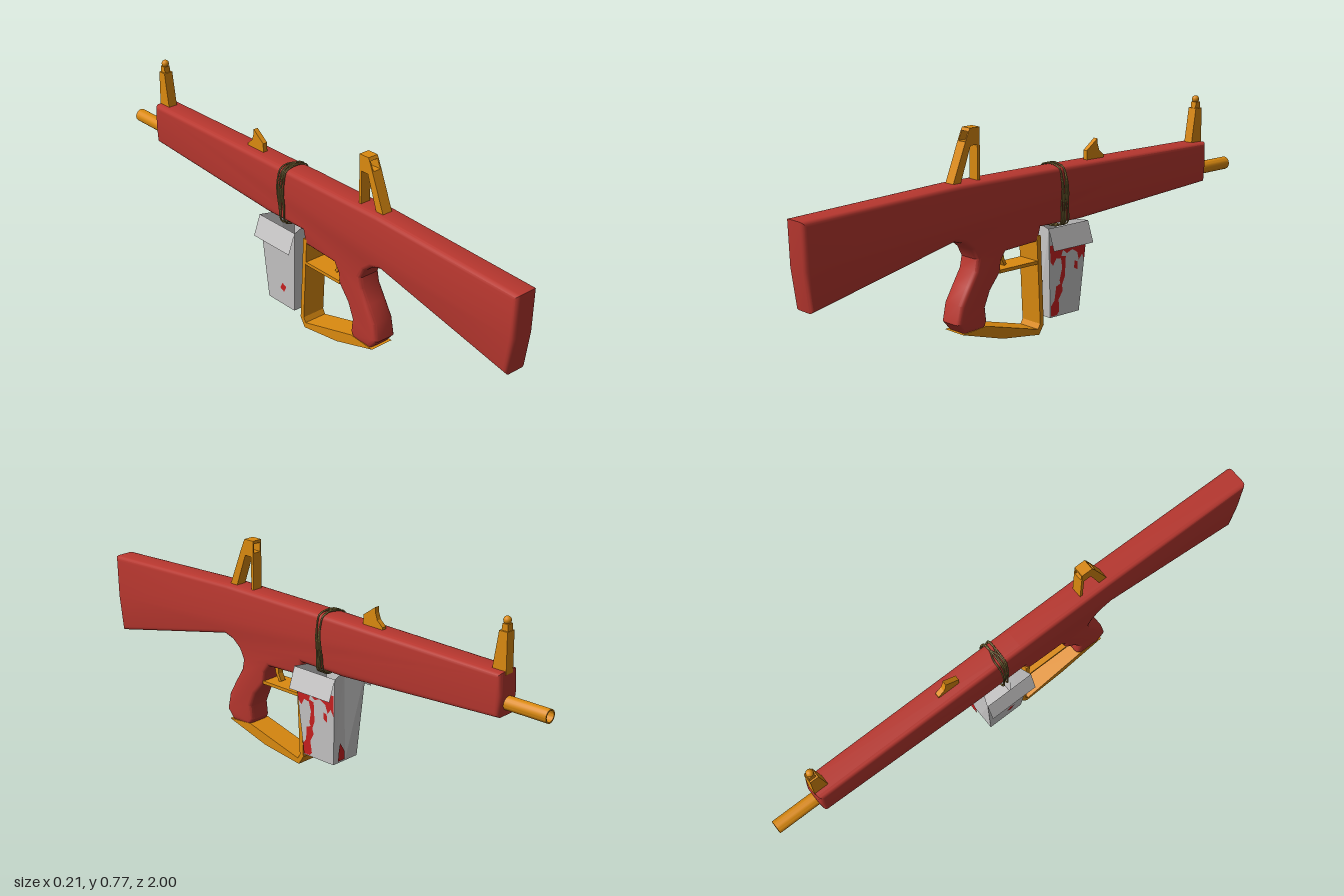
import * as THREE from 'three';
import { toCreasedNormals } from 'three/addons/utils/BufferGeometryUtils.js';

const mat = (name, color, side = THREE.FrontSide) => {
  const m = new THREE.MeshStandardMaterial({ color, side });
  m.name = name;
  return m;
};

export function createModel() {
  const group = new THREE.Group();
  const red = mat('red', 0xb8372f);
  const orange = mat('orange', 0xdb8a10);
  const grey = mat('grey', 0xc8c7c7, THREE.DoubleSide);
  const stainRed = mat('stainRed', 0xcc2020, THREE.DoubleSide);
  const twine = mat('twine', 0x7d6b38);

  const add = (name, geo, material) => {
    const mesh = new THREE.Mesh(geo, material);
    mesh.name = name;
    group.add(mesh);
    return mesh;
  };
  const outline = (pts) => new THREE.Shape(pts.map(([z, y]) => new THREE.Vector2(z, y)));

  // Side profile given as [z, y], extruded across x and centred on cx
  const slab = (name, pts, width, material, { bevel = 0, hole = null, cx = 0 } = {}) => {
    const shape = outline(pts);
    if (hole) shape.holes.push(outline(hole));
    const geo = new THREE.ExtrudeGeometry(shape, {
      depth: width - 2 * bevel, bevelEnabled: bevel > 0, bevelThickness: bevel,
      bevelSize: bevel, bevelOffset: -bevel, bevelSegments: 3,
    });
    geo.translate(0, 0, -(width - 2 * bevel) / 2);
    geo.rotateY(-Math.PI / 2);
    geo.translate(cx, 0, 0);
    return add(name, bevel ? toCreasedNormals(geo, 0.55) : geo, material);
  };

  // Stock, receiver and grip in one rounded piece
  slab('body', [
    [1, 0.567], [0.995, 0.41], [0.975, 0.272], [0.4, 0.4], [0.36, 0.388], [0.325, 0.36],
    [0.307, 0.325], [0.315, 0.285], [0.345, 0.235], [0.38, 0.175], [0.393, 0.11],
    [0.36, 0.072], [0.275, 0.075], [0.262, 0.1], [0.268, 0.15], [0.245, 0.205],
    [0.2, 0.26], [0.195, 0.3], [0.175, 0.33], [0.025, 0.338], [0.012, 0.388],
    [-0.18, 0.386], [-0.835, 0.425], [-0.842, 0.5], [-0.838, 0.576], [0, 0.588], [0.38, 0.59],
  ], 0.093, red, { bevel: 0.016 });

  // Barrel with an open muzzle
  const tube = [[0.024, 0.82], [0.024, 1], [0.019, 1], [0.019, 0.85], [0, 0.85]];
  const barrel = new THREE.LatheGeometry(tube.map(([r, h]) => new THREE.Vector2(r, h)), 20);
  barrel.rotateX(-Math.PI / 2);
  barrel.translate(0, 0.468, 0);
  add('barrel', toCreasedNormals(barrel, 0.6), orange);

  // Guard and trigger
  slab('handGuard', [
    [0.375, 0.076], [0.195, 0.024], [0.025, 0.001], [0.003, 0.035], [0.018, 0.36],
    [0.036, 0.36], [0.02, 0.04], [0.03, 0.022], [0.27, 0.085],
  ], 0.092, orange);
  slab('triggerGuard', [[0.205, 0.258], [0.025, 0.258], [0.025, 0.27], [0.205, 0.27]], 0.088, orange);
  slab('trigger', [
    [0.18, 0.345], [0.172, 0.3], [0.155, 0.27], [0.145, 0.274], [0.158, 0.3], [0.16, 0.345],
  ], 0.022, orange);

  // Rear sight: sloped legs, cheeks around the window, top bar
  slab('rearSightLegs', [
    [0.39, 0.58], [0.332, 0.725], [0.27, 0.725], [0.27, 0.58], [0.281, 0.58],
    [0.281, 0.71], [0.31, 0.71], [0.357, 0.58],
  ], 0.04, orange);
  for (const s of [-1, 1]) {
    slab('rearSightCheek', [[0.332, 0.725], [0.318, 0.758], [0.27, 0.758], [0.27, 0.725]],
      0.005, orange, { cx: s * 0.0175 });
  }
  slab('rearSightTop', [[0.318, 0.758], [0.312, 0.769], [0.27, 0.769], [0.27, 0.758]], 0.04, orange);

  // Front sight: tapered post, small step and bead
  slab('frontSightPost', [[-0.784, 0.565], [-0.806, 0.705], [-0.838, 0.705], [-0.84, 0.565]], 0.036, orange);
  slab('frontSightStep', [[-0.81, 0.7], [-0.813, 0.728], [-0.835, 0.728], [-0.836, 0.7]], 0.024, orange);
  const bead = add('frontSightBead', new THREE.SphereGeometry(0.0135, 16, 12), orange);
  bead.position.set(0, 0.738, -0.823);

  // Cocking fin on the top
  slab('cockingFin', [
    [-0.24, 0.58], [-0.24, 0.618], [-0.265, 0.636], [-0.292, 0.656], [-0.294, 0.635],
    [-0.302, 0.612], [-0.325, 0.592], [-0.325, 0.58],
  ], 0.018, orange);

  // Paper bag: rings of six corners, the z sides creased inwards at the top
  const ring = (y, x, z0, z1, fold) => [
    [x, y, z0], [x, y, z1], [0, y, z1 + fold], [-x, y, z1], [-x, y, z0], [0, y, z0 - fold],
  ];
  const top = ring(0.388, 0.08, 0.012, -0.178, 0.03);
  const bottom = ring(0.057, 0.06, -0.015, -0.155, 0);
  const pos = [];
  for (let i = 0; i < 6; i++) {
    const j = (i + 1) % 6;
    pos.push(...bottom[i], ...bottom[j], ...top[j], ...bottom[i], ...top[j], ...top[i]);
  }
  for (let i = 1; i < 5; i++) pos.push(...bottom[0], ...bottom[i + 1], ...bottom[i]);
  const flat = (list) => {
    const geo = new THREE.BufferGeometry();
    geo.setAttribute('position', new THREE.Float32BufferAttribute(list, 3));
    geo.computeVertexNormals();
    return geo;
  };
  add('bag', flat(pos), grey);

  // Folded-out flaps at the bag's mouth
  for (const s of [-1, 1]) {
    const a = [s * 0.08, 0.388, 0.012], b = [s * 0.08, 0.388, -0.178];
    const c = [s * 0.107, 0.312, -0.178], d = [s * 0.107, 0.312, 0.012];
    const quad = s > 0 ? [a, d, c, a, c, b] : [a, c, d, a, b, c];
    add('bagFlap', flat(quad.flat()), grey);
  }

  // Stains lying on the sloped sides of the bag
  const wallX = (y) => 0.062 + 0.0604 * (y - 0.057);
  const sideStain = (s, pts) => {
    const geo = new THREE.ShapeGeometry(outline(pts));
    const p = geo.attributes.position;
    for (let i = 0; i < p.count; i++) p.setXYZ(i, s * wallX(p.getY(i)), p.getY(i), p.getX(i));
    geo.computeVertexNormals();
    add('sideStain', geo, stainRed);
  };
  sideStain(1, [
    [0.004, 0.325], [-0.17, 0.325], [-0.166, 0.245], [-0.155, 0.27], [-0.14, 0.25], [-0.13, 0.28],
    [-0.105, 0.295], [-0.08, 0.285], [-0.06, 0.3], [-0.05, 0.27], [-0.03, 0.275], [-0.015, 0.25], [-0.002, 0.265],
  ]);
  sideStain(1, [
    [-0.05, 0.28], [-0.075, 0.275], [-0.075, 0.2], [-0.06, 0.165], [-0.05, 0.19], [-0.06, 0.235],
  ]);
  sideStain(1, [
    [-0.016, 0.062], [-0.014, 0.1], [-0.03, 0.12], [-0.035, 0.17], [-0.06, 0.18], [-0.068, 0.15],
    [-0.05, 0.12], [-0.055, 0.075], [-0.045, 0.062],
  ]);
  sideStain(1, [[-0.12, 0.25], [-0.135, 0.245], [-0.135, 0.215], [-0.118, 0.225]]);
  sideStain(-1, [[-0.05, 0.14], [-0.07, 0.15], [-0.085, 0.125], [-0.065, 0.115]]);

  const backStain = new THREE.ShapeGeometry(outline([
    [0.012, 0.068], [0.045, 0.068], [0.042, 0.1], [0.035, 0.135], [0.022, 0.115], [0.013, 0.1],
  ]));
  backStain.translate(0, 0, -0.163);
  add('backStain', backStain, stainRed);

  // Twine loops tying the bag to the body
  const half = [[0.022, 0.593], [0.047, 0.583], [0.06, 0.55], [0.065, 0.515], [0.06, 0.45], [0.05, 0.385]];
  for (let k = 0; k < 5; k++) {
    const spread = 0.93 + 0.02 * k;
    const z = -0.072 - 0.006 * k;
    const lean = 0.008 * Math.sin(k * 2.1);
    const side = (s) => half.map(([x, y]) => new THREE.Vector3(
      s * Math.max(x * spread, Math.min(x, 0.049)), y, z + lean * (y - 0.49) * 10 * s));
    const path = new THREE.CatmullRomCurve3([...side(1), ...side(-1).reverse()], true);
    add('twineLoop', new THREE.TubeGeometry(path, 48, 0.003, 6, true), twine);
  }

  return group;
}
